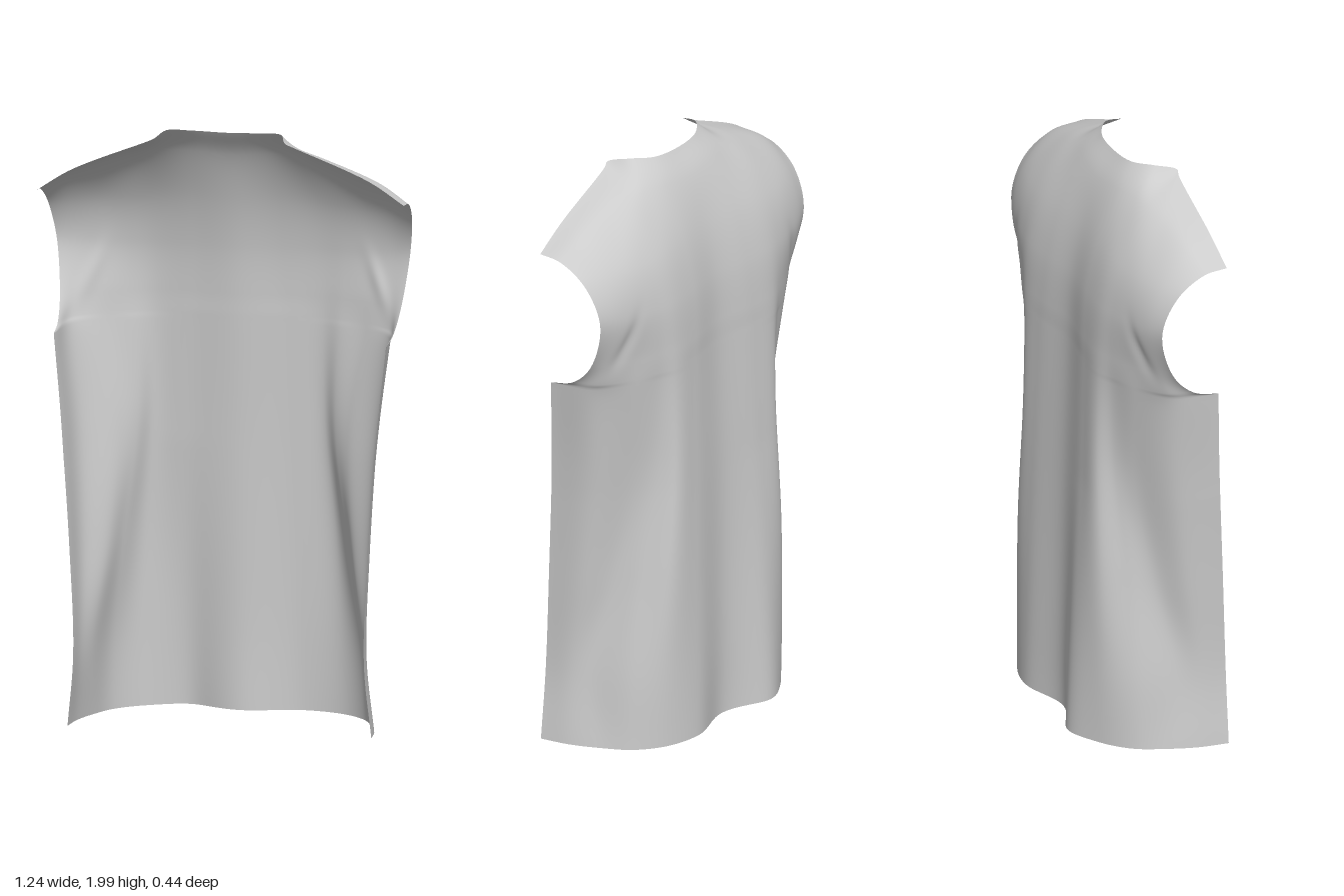
import * as THREE from 'three';

// Body cross-sections, hem to underarm: height, then [x, z] from centre back to side seam
const bodyRows = [
  [0.005, [0, -0.155], [0.19, -0.198], [0.33, -0.165], [0.42, -0.09], [0.468, 0.01], [0.5, 0.11], [0.512, 0.215]],
  [0.25, [0, -0.16], [0.19, -0.193], [0.335, -0.165], [0.415, -0.085], [0.455, 0.05], [0.482, 0.13], [0.49, 0.213]],
  [0.6, [0, -0.157], [0.19, -0.185], [0.32, -0.17], [0.375, -0.09], [0.41, -0.01], [0.482, 0.075], [0.502, 0.195]],
  [1.0, [0, -0.15], [0.18, -0.173], [0.285, -0.17], [0.332, -0.122], [0.39, -0.075], [0.5, 0.02], [0.53, 0.168]],
  [1.31, [0, -0.14], [0.17, -0.162], [0.28, -0.165], [0.345, -0.137], [0.44, -0.097], [0.537, -0.01], [0.56, 0.15]],
].map(([y, ...pts]) => pts.map(([x, z]) => [x, y, z]));

// Yoke cross-sections, armhole to shoulder seam; the last row follows neckline and seam
const yokeRows = [
  [[0, 1.34, -0.139], [0.17, 1.34, -0.161], [0.28, 1.34, -0.165], [0.347, 1.34, -0.14], [0.443, 1.34, -0.1], [0.537, 1.335, -0.028], [0.565, 1.333, 0.06]],
  [[0, 1.41, -0.137], [0.16, 1.41, -0.158], [0.28, 1.41, -0.163], [0.352, 1.41, -0.143], [0.445, 1.41, -0.107], [0.53, 1.41, -0.062], [0.575, 1.41, -0.02]],
  [[0, 1.57, -0.125], [0.15, 1.57, -0.142], [0.28, 1.57, -0.15], [0.36, 1.57, -0.14], [0.445, 1.57, -0.122], [0.525, 1.575, -0.099], [0.595, 1.58, -0.07]],
  [[0, 1.74, -0.09], [0.15, 1.74, -0.1], [0.27, 1.735, -0.105], [0.36, 1.73, -0.098], [0.45, 1.725, -0.083], [0.53, 1.72, -0.058], [0.612, 1.71, -0.02]],
  [[0, 1.9, -0.03], [0.14, 1.91, -0.02], [0.23, 1.913, 0], [0.3, 1.903, 0.013], [0.385, 1.88, 0.025], [0.525, 1.833, 0.045], [0.62, 1.778, 0.07]],
  [[0, 1.985, 0.028], [0.12, 1.99, 0.04], [0.192, 1.998, 0.087], [0.221, 1.982, 0.156], [0.245, 1.97, 0.151], [0.5, 1.865, 0.147], [0.62, 1.79, 0.152]],
];

const rows = [...bodyRows, ...yokeRows];
const split = bodyRows.length - 1;
const last = rows.length - 1;
const spline = (pts) => new THREE.CatmullRomCurve3(pts, false, 'centripetal');

// Curve running up the panel; the side edge breaks sharply at the underarm corner
function createColumn(j) {
  const pts = rows.map((r) => new THREE.Vector3(...r[j]));
  if (j < 6) {
    const whole = spline(pts);
    return (r) => whole.getPoint(r / last);
  }
  const seam = spline(pts.slice(0, split + 1));
  const armhole = spline(pts.slice(split));
  return (r) => (r <= split ? seam.getPoint(r / split) : armhole.getPoint((r - split) / (last - split)));
}

function createBackPanel() {
  const across = 120, up = 12 * last;
  const columns = rows[0].map((_, j) => createColumn(j));
  const geometry = new THREE.PlaneGeometry(1, 1, across, up);
  const pos = geometry.attributes.position;

  for (let i = 0; i <= up; i++) {
    // Mirror the half section, then sample it from the left side to the right
    const half = columns.map((column) => column((up - i) / 12));
    const mirrored = half.slice(1).map((p) => new THREE.Vector3(-p.x, p.y, p.z));
    const section = spline([...half.reverse(), ...mirrored]);
    for (let j = 0; j <= across; j++) {
      const p = section.getPoint(j / across);
      // Deeper drape on the right of the hem, which hangs slightly to the left
      const low = Math.max(0, 1 - p.y / 0.9);
      p.z -= 0.025 * low * Math.exp(-(((p.x + 0.2) / 0.09) ** 2));
      p.x += 0.012 * low;
      // Soft creases beside the armholes
      const crease = (Math.abs(p.x) - 0.49 + (p.y - 1.45) * 0.35) / 0.025;
      p.z += 0.008 * Math.exp(-(crease ** 2) - ((p.y - 1.48) / 0.08) ** 2);
      pos.setXYZ(i * (across + 1) + j, p.x, p.y, p.z);
    }
  }
  geometry.computeVertexNormals();
  const material = new THREE.MeshStandardMaterial({ color: 0xcccccc, side: THREE.DoubleSide });
  const mesh = new THREE.Mesh(geometry, material);
  mesh.name = 'garmentBackPanel';
  return mesh;
}

export function createModel() {
  const group = new THREE.Group();
  group.name = 'sleevelessGarmentBack';
  group.add(createBackPanel());
  return group;
}
